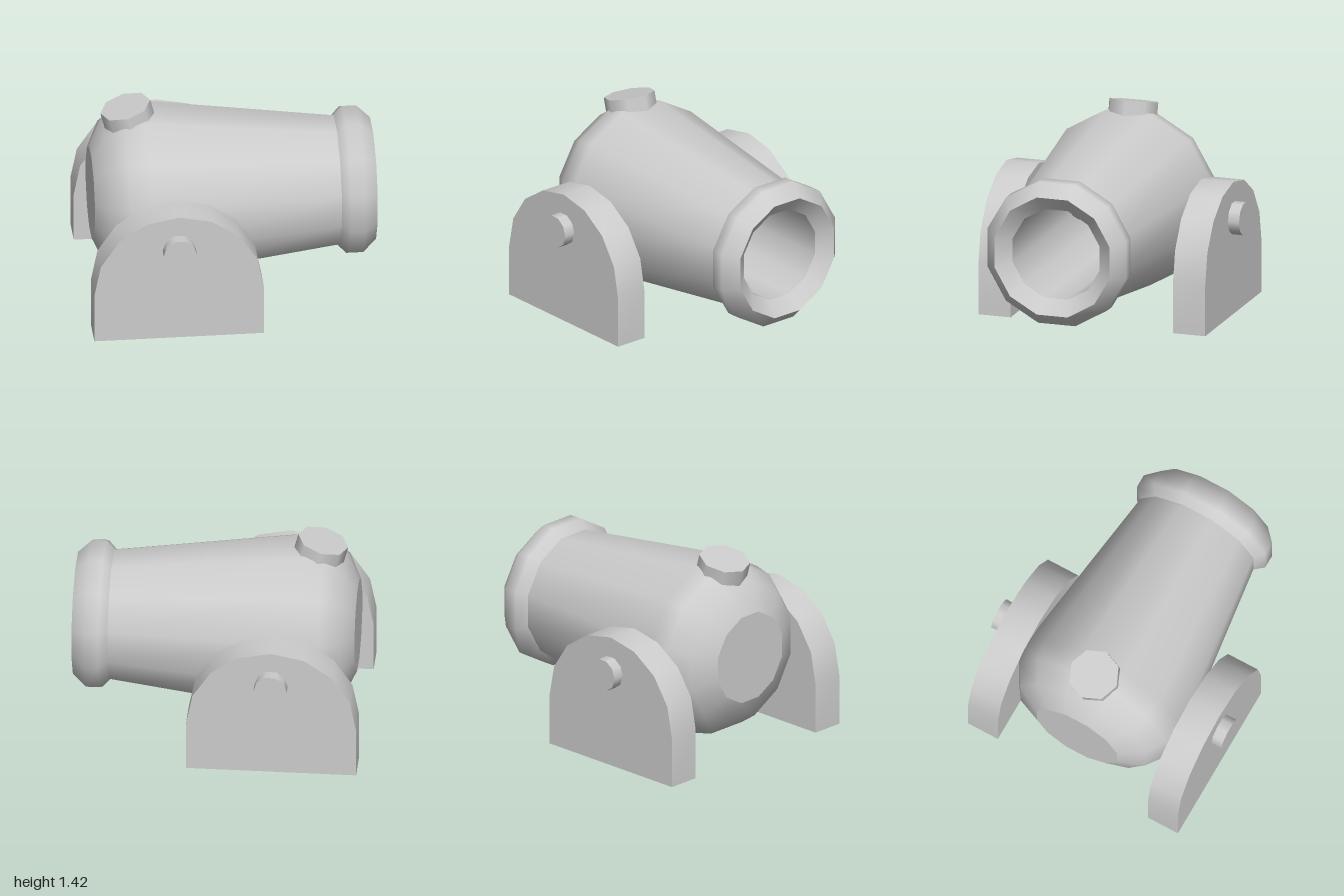
import * as THREE from 'three';
import { toCreasedNormals } from 'three/addons/utils/BufferGeometryUtils.js';

export function createModel() {
  const model = new THREE.Group();
  model.name = 'cannon';
  const iron = new THREE.MeshStandardMaterial({ color: 0xcccccc });
  iron.name = 'lightGrey';

  const add = (name, geometry, parent = model) => {
    const mesh = new THREE.Mesh(geometry, iron);
    mesh.name = name;
    parent.add(mesh);
    return mesh;
  };

  // Twelve-sided barrel sections turned about the x axis, flats facing up.
  // Profiles are [x, distance from the axis to a flat].
  const barrel = new THREE.Group();
  barrel.name = 'barrel';
  barrel.position.y = 0.71;
  model.add(barrel);
  const turn = (name, profile) => {
    const points = profile.map(([x, r]) => new THREE.Vector2(r / Math.cos(Math.PI / 12), x));
    const geometry = new THREE.LatheGeometry(points, 12, Math.PI / 12);
    geometry.rotateZ(-Math.PI / 2);
    add(name, geometry, barrel);
  };
  turn('breechCap', [[-0.945, 0], [-0.945, 0.315]]);
  turn('barrelBody', [[-0.945, 0.315], [-0.86, 0.49], [-0.72, 0.583], [-0.58, 0.612], [0.75, 0.444]]);
  turn('muzzleRing', [[0.75, 0.444], [0.81, 0.505], [0.905, 0.505], [1, 0.419]]);
  turn('muzzleBevel', [[1, 0.419], [0.915, 0.317]]);
  turn('bore', [[0.915, 0.317], [-0.6, 0.317]]);
  turn('boreEnd', [[-0.6, 0.317], [-0.6, 0]]);

  // Tilted octagonal vent on the breech
  const ventLength = 0.25;
  const ventGeometry = new THREE.CylinderGeometry(0.178, 0.178, ventLength, 8);
  ventGeometry.translate(0, -ventLength / 2, 0);
  const vent = add('vent', ventGeometry);
  vent.position.set(-0.703, 1.373, 0);
  vent.rotation.z = 0.255;

  // Ten-sided axle through both cheeks and the bore
  const axleGeometry = new THREE.CylinderGeometry(0.115, 0.115, 1.815, 10, 1, false, Math.PI / 2);
  axleGeometry.rotateX(Math.PI / 2);
  add('axle', axleGeometry).position.set(-0.413, 0.69, 0);

  // Arched side cheeks
  const arch = new THREE.Shape();
  arch.moveTo(-0.587, 0);
  arch.lineTo(0.587, 0);
  for (let i = 0; i <= 8; i++) {
    const a = (i / 8) * Math.PI;
    arch.lineTo(0.587 * Math.cos(a), 0.358 + 0.587 * Math.sin(a));
  }
  const depth = 0.235;
  const cheekGeometry = toCreasedNormals(
    new THREE.ExtrudeGeometry(arch, { depth, bevelEnabled: false }), 0.5);
  cheekGeometry.translate(0, 0, -depth / 2);
  for (const side of [-1, 1]) {
    add(side > 0 ? 'frontCheek' : 'backCheek', cheekGeometry).position.set(-0.413, 0, side * 0.709);
  }

  return model;
}
